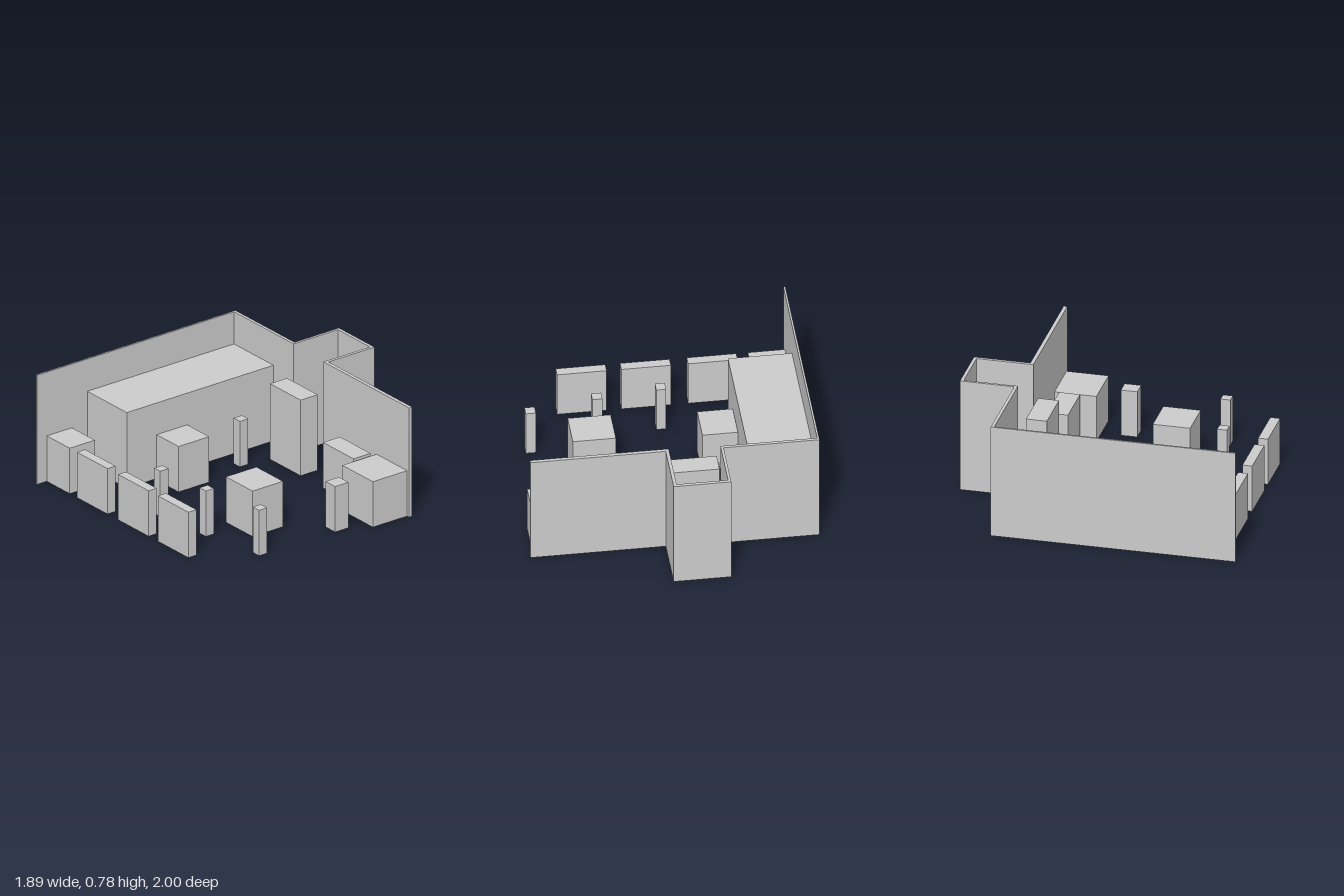
import * as THREE from 'three';

const material = new THREE.MeshStandardMaterial({ color: 0xcccccc, flatShading: true });
const WALL_H = 0.78, LOW = 0.325, TALL = 0.55, LIFT = 0.01;

// Box given by its plan limits and its bottom and top heights
function block(name, x0, x1, z0, z1, top = LOW, bottom = 0) {
  const mesh = new THREE.Mesh(new THREE.BoxGeometry(x1 - x0, top - bottom, z1 - z0), material);
  mesh.position.set((x0 + x1) / 2, (bottom + top) / 2, (z0 + z1) / 2);
  mesh.name = name;
  return mesh;
}

// Thin wall: one closed plan outline [x, z], raised to full height
function buildWall() {
  const outline = [
    [-0.947, 1], [-0.934, 1], [-0.934, -0.615], [-0.301, -0.615], [-0.301, -0.978],
    [0.036, -0.978], [0.036, -0.598], [0.945, -0.598], [0.945, -0.623], [0.058, -0.623],
    [0.058, -1], [-0.319, -1], [-0.319, -0.636], [-0.947, -0.636],
  ];
  const shape = new THREE.Shape(outline.map(([x, z]) => new THREE.Vector2(x, -z)));
  const geometry = new THREE.ExtrudeGeometry(shape, { depth: WALL_H, bevelEnabled: false });
  geometry.rotateX(-Math.PI / 2);
  const wall = new THREE.Mesh(geometry, material);
  wall.name = 'roomWall';
  return wall;
}

export function createModel() {
  const model = new THREE.Group();
  model.name = 'roomLayout';
  model.add(buildWall());

  // Large units along the walls, raised slightly off the floor
  model.add(block('longCounter', -0.934, -0.515, -0.615, 0.588, TALL, LIFT));
  model.add(block('tallCabinet', -0.303, 0.022, -0.562, -0.422, TALL, LIFT));
  model.add(block('backCabinet', 0.259, 0.583, -0.562, -0.422, LOW + LIFT, LIFT));

  // Low units and tables standing on the floor
  model.add(block('backCornerUnit', 0.6, 0.924, -0.598, -0.317));
  model.add(block('frontCornerUnit', -0.934, -0.691, 0.714, 0.92));
  model.add(block('counterTable', -0.513, -0.28, 0.094, 0.345));
  model.add(block('centreTable', 0.28, 0.562, 0.14, 0.39));

  // Row of thin panels along the front
  for (const x of [-0.615, -0.178, 0.243])
    model.add(block('frontPanel', x, x + 0.324, 0.854, 0.92));

  // Freestanding posts: centre x, centre z, width, depth
  for (const [x, z, w, d] of [
    [-0.379, -0.242, 0.068, 0.068],
    [0.783, -0.132, 0.102, 0.11],
    [0.791, 0.506, 0.066, 0.066],
    [0.343, 0.596, 0.066, 0.066],
    [-0.081, 0.641, 0.064, 0.068],
  ]) model.add(block('post', x - w / 2, x + w / 2, z - d / 2, z + d / 2));

  return model;
}
